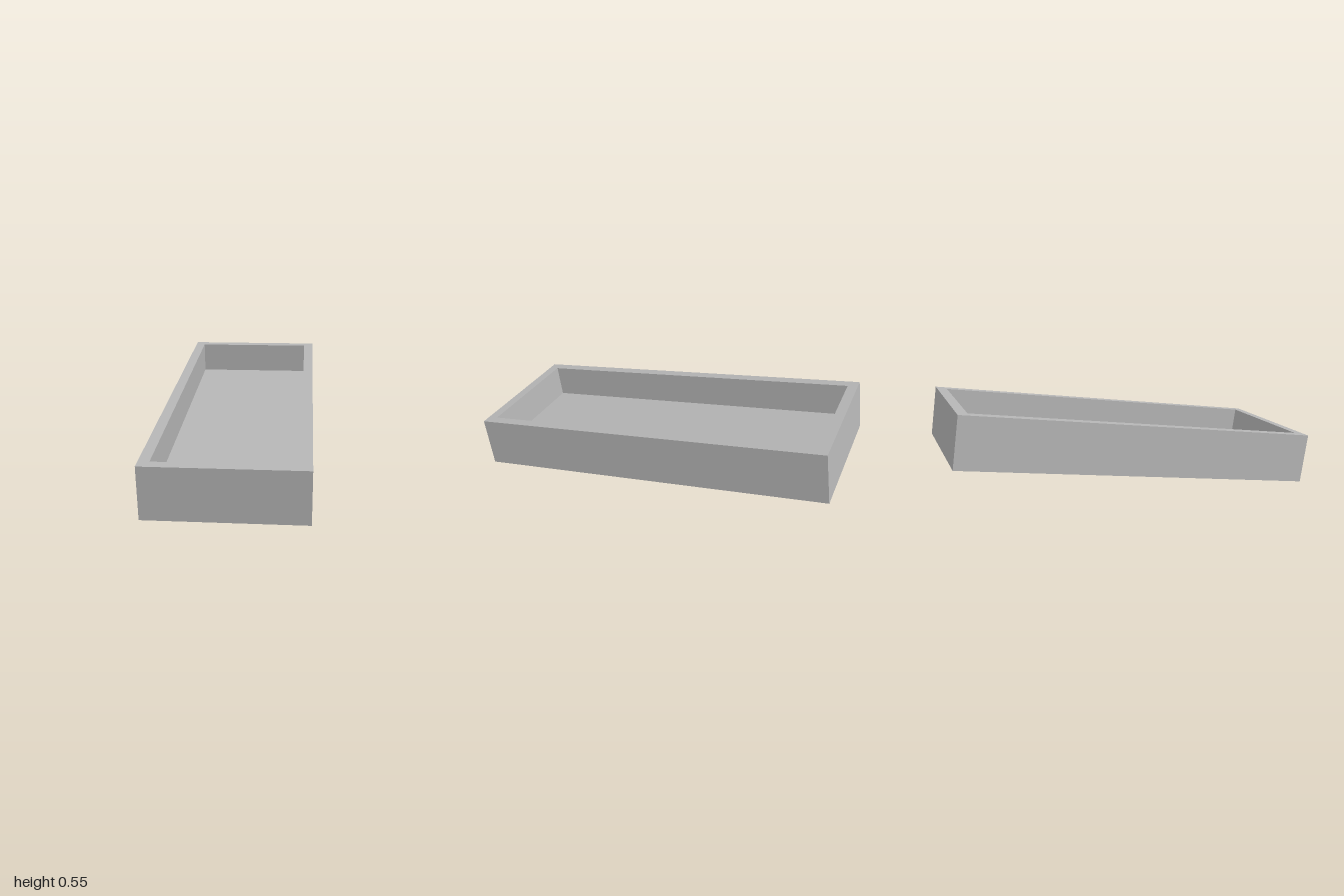
import * as THREE from 'three';

const WIDTH = 0.79, LENGTH = 1.981, HEIGHT = 0.272;
const WALL = 0.055, DEPTH = 0.18, TILT = THREE.MathUtils.degToRad(8);

// Four corners at one height, counterclockwise seen from above
function ring(inset, y) {
  const x = WIDTH / 2 - inset, z = LENGTH / 2 - inset;
  return [[x, y, z], [x, y, -z], [-x, y, -z], [-x, y, z]];
}

// Seamless tray: outer walls, rim, inner walls, then floor and underside
function trayGeometry() {
  const top = HEIGHT / 2;
  const rings = [ring(0, -top), ring(0, top), ring(WALL, top), ring(WALL, top - DEPTH)];
  const points = [];
  const quad = (a, b, c, d) => points.push(...a, ...b, ...c, ...a, ...c, ...d);
  for (let r = 0; r < rings.length - 1; r++) {
    const a = rings[r], b = rings[r + 1];
    for (let i = 0; i < 4; i++) {
      const j = (i + 1) % 4;
      quad(a[i], a[j], b[j], b[i]);
    }
  }
  quad(...rings[3]);
  quad(...rings[0].reverse());
  const geometry = new THREE.BufferGeometry();
  geometry.setAttribute('position', new THREE.Float32BufferAttribute(points, 3));
  geometry.computeVertexNormals();
  return geometry;
}

export function createModel() {
  const group = new THREE.Group();
  group.name = 'tiltedTray';

  const grey = new THREE.MeshStandardMaterial({ color: 0xb4b4b4 });
  grey.name = 'grey';

  // Tray tilted with its back end raised, lowest edge on the ground
  const tray = new THREE.Mesh(trayGeometry(), grey);
  tray.name = 'tray';
  tray.rotation.x = TILT;
  tray.position.y = (LENGTH * Math.sin(TILT) + HEIGHT * Math.cos(TILT)) / 2;
  group.add(tray);

  return group;
}
